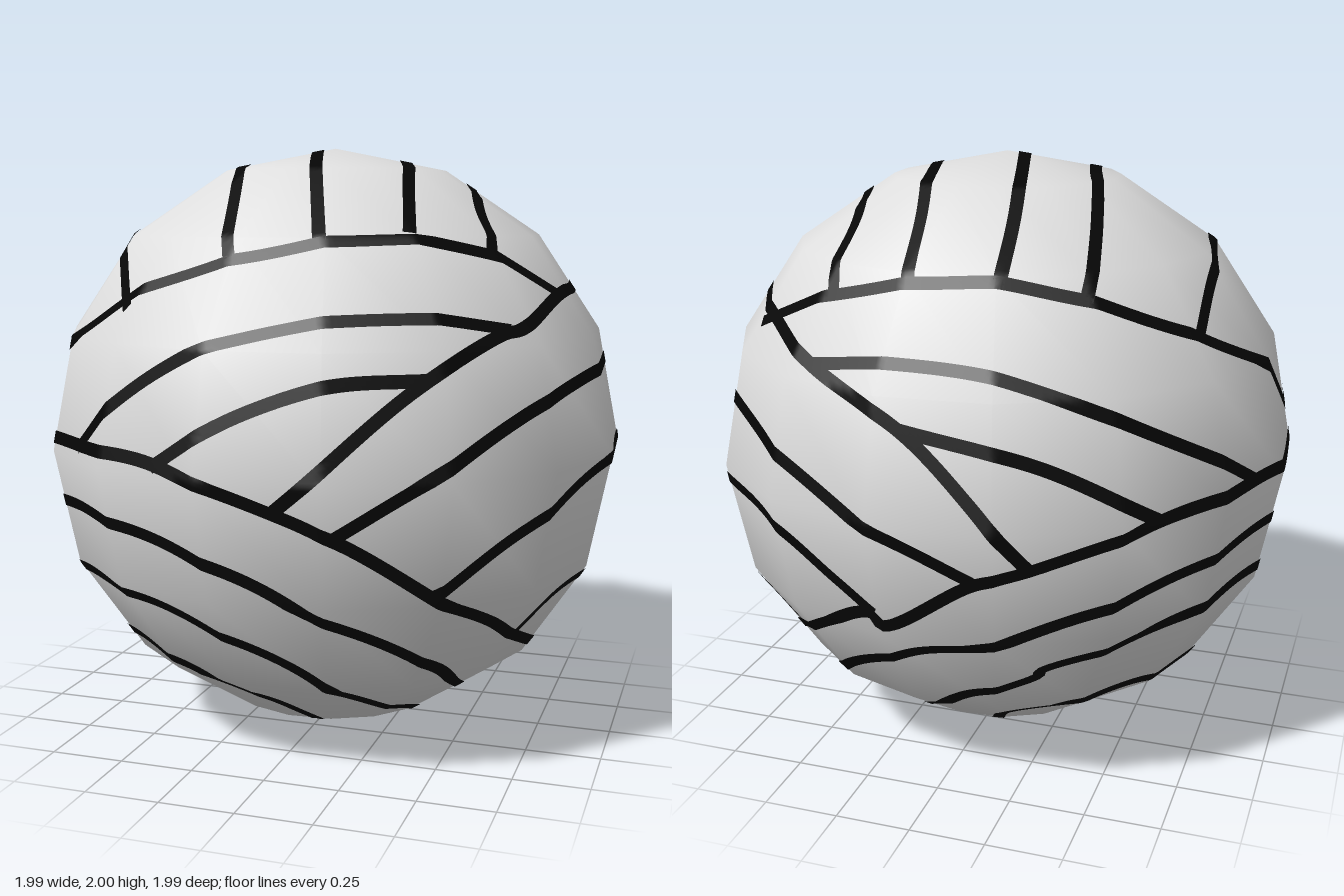
import * as THREE from 'three';

const coverMat = new THREE.MeshStandardMaterial({ color: 0xdedede });
coverMat.name = 'pale grey cover';
const seamMat = new THREE.MeshStandardMaterial({ color: 0x060606 });
seamMat.name = 'black seam';

// Coarse ball with smooth normals
const ballGeo = new THREE.SphereGeometry(1, 16, 8).rotateY(THREE.MathUtils.degToRad(-7.2));

// Face planes of the ball, used to lay the seams on its facets
const planes = [];
{
  const pos = ballGeo.attributes.position, ix = ballGeo.index.array;
  const at = i => new THREE.Vector3().fromBufferAttribute(pos, ix[i]);
  for (let i = 0; i < ix.length; i += 3) {
    planes.push(new THREE.Plane().setFromCoplanarPoints(at(i), at(i + 1), at(i + 2)));
  }
}

// Distance from a point to the ball's surface along a direction
function reach(origin, dir) {
  let best = Infinity;
  for (const { normal, constant } of planes) {
    const d = normal.dot(dir);
    if (d > 1e-3) best = Math.min(best, (-constant - normal.dot(origin)) / d);
  }
  return best;
}

// Drawing side: turns flat (u, v) pairs in hundredths into points on the ball
function side(x, y, z, upZ = 0) {
  const dir = new THREE.Vector3(x, y, z).normalize();
  const right = new THREE.Vector3(0, upZ ? 0 : 1, upZ).cross(dir).normalize();
  const up = dir.clone().cross(right);
  return (...uv) => {
    const pts = [];
    for (let i = 0; i < uv.length; i += 2) {
      const p = right.clone().multiplyScalar(uv[i] / 100).addScaledVector(up, uv[i + 1] / 100);
      pts.push(p.addScaledVector(dir, reach(p, dir)).normalize());
    }
    return pts;
  };
}
const F = side(0, 0, 1), R = side(1, 0, 0), T = side(0, 1, 0, -1);
const BL = side(-0.7, 0.55, -1), BR = side(0.9, -0.7, -1);

const ORIGIN = new THREE.Vector3();
const HALF_WIDTH = 0.021, LIFT = 0.004, SPANS = 3;

// Thin ribbon that follows the facets along a smooth path
function ribbon(points, closed) {
  const curve = new THREE.CatmullRomCurve3(points, closed, 'centripetal');
  const n = Math.ceil(curve.getLength() / 0.016);
  const verts = [], index = [];
  for (let i = 0; i <= n; i++) {
    const p = curve.getPointAt(i / n).normalize();
    const across = p.clone().cross(curve.getTangentAt(i / n)).normalize();
    for (let j = 0; j <= SPANS; j++) {
      const d = p.clone().addScaledVector(across, HALF_WIDTH * (2 * j / SPANS - 1)).normalize();
      d.multiplyScalar(reach(ORIGIN, d) + LIFT);
      verts.push(d.x, d.y, d.z);
      if (i < n && j < SPANS) {
        const a = i * (SPANS + 1) + j, b = a + 1, c = a + SPANS + 1;
        index.push(a, c, b, b, c, c + 1);
      }
    }
  }
  const g = new THREE.BufferGeometry();
  g.setAttribute('position', new THREE.Float32BufferAttribute(verts, 3));
  g.setIndex(index);
  g.computeVertexNormals();
  return g;
}

// Open seams, as lists of points
const openSeams = {
  // border of the striped cap
  capFrontSeam: [BL(91, -2), F(-93, 18, -74, 35, -45, 52, -8, 64, 17, 69, 38, 70, 63, 65), R(-16, 52)],
  capBackSeam: [BL(91, -2, 38, 15, 2, 27, -23, 35, -46, 39, -64, 41), T(66, 54)],
  // long seam over the left shoulder, from front to back
  shoulderSeam: [F(11, -8, 49, 27, 70, 42), R(-48, 43, -16, 52, 18, 53, 54, 52),
    BL(-76, 21, -56, -4, -39, -28, -22, -49)],
  // stripes over the cap
  capStripe1: [T(-74, 39, -73, 13, -66, -22, -45, -72)],
  capStripe2: [T(-44, 61, -41, 39, -32, 5, -24, -27, -10, -74)],
  capStripe3: [T(-20, 70, -17, 45, -8, 7, 3, -30, 17, -69)],
  capStripe4: [T(8, 71, 13, 45, 21, 13, 32, -22, 41, -55)],
  capStripe5: [T(34, 67, 38, 39, 45, 13, 55, -19, 63, -39)],
  // wedge seams, front and back
  frontWedgeUpper: [F(-62, 4, -31, 29, 1, 42, 33, 47, 54, 47, 72, 43)],
  frontWedgeLower: [F(-28, 3, 1, 20, 28, 29, 53, 30)],
  backWedgeUpper: [BL(-76, 21, -35, 9, 7, -10, 58, -29)],
  backWedgeLower: [BL(-56, -4, -19, -20, 18, -39)],
  // arches on the left side
  sideArchUpper: [F(29, -15, 57, 3), R(-51, 20, -24, 26, 2, 28, 29, 28, 60, 23, 81, 16),
    BL(-62, -34, -37, -51)],
  sideArchMiddle: [F(54, -35), R(-56, -18, -30, -5, 2, 1, 34, 0, 60, -4), BR(16, 38, 40, 20, 53, 9)],
  sideArchLower: [R(-34, -56, -24, -44, -8, -40, 18, -40, 50, -41), BR(-12, 4, 3, -10)],
};

// Closed seams, nested around the lower right
const closedSeams = {
  mainLoop: [F(-95, 3, -62, 5, -28, 4, 11, -8, 29, -16, 54, -35),
    R(-51, -48, -34, -57, -3, -67, 29, -66), BR(3, -10, 51, 9),
    BL(-61, -60, -37, -51, -22, -49, 18, -39, 58, -29, 82, -20)],
  lowerLoop1: [F(-94, -17, -62, -16, -28, -20, 4, -31, 33, -48, 51, -64), R(-35, -75, -3, -84),
    BR(-13, -44, 19, -23, 56, -9), BL(-38, -70, -3, -64, 29, -55, 61, -44, 87, -31)],
  lowerLoop2: [F(-88, -39, -62, -39, -33, -42, -7, -52, 17, -67, 30, -83),
    BR(-39, -76, -8, -68, 24, -49, 56, -35, 74, -33), BL(-14, -80, 18, -72, 55, -60, 79, -50)],
  lowerLoop3: [F(-76, -61, -52, -63, -28, -68, -7, -77, 3, -88),
    BR(-21, -88, -3, -84, 32, -71, 51, -56, 68, -55), BL(23, -89, 61, -76)],
};

export function createModel() {
  const model = new THREE.Group();
  model.name = 'ball';
  const add = (name, geo, mat) => {
    const mesh = new THREE.Mesh(geo, mat);
    mesh.name = name;
    mesh.position.y = 1;
    model.add(mesh);
  };
  add('cover', ballGeo, coverMat);
  for (const [name, parts] of Object.entries(openSeams)) add(name, ribbon(parts.flat(), false), seamMat);
  for (const [name, parts] of Object.entries(closedSeams)) add(name, ribbon(parts.flat(), true), seamMat);
  return model;
}
